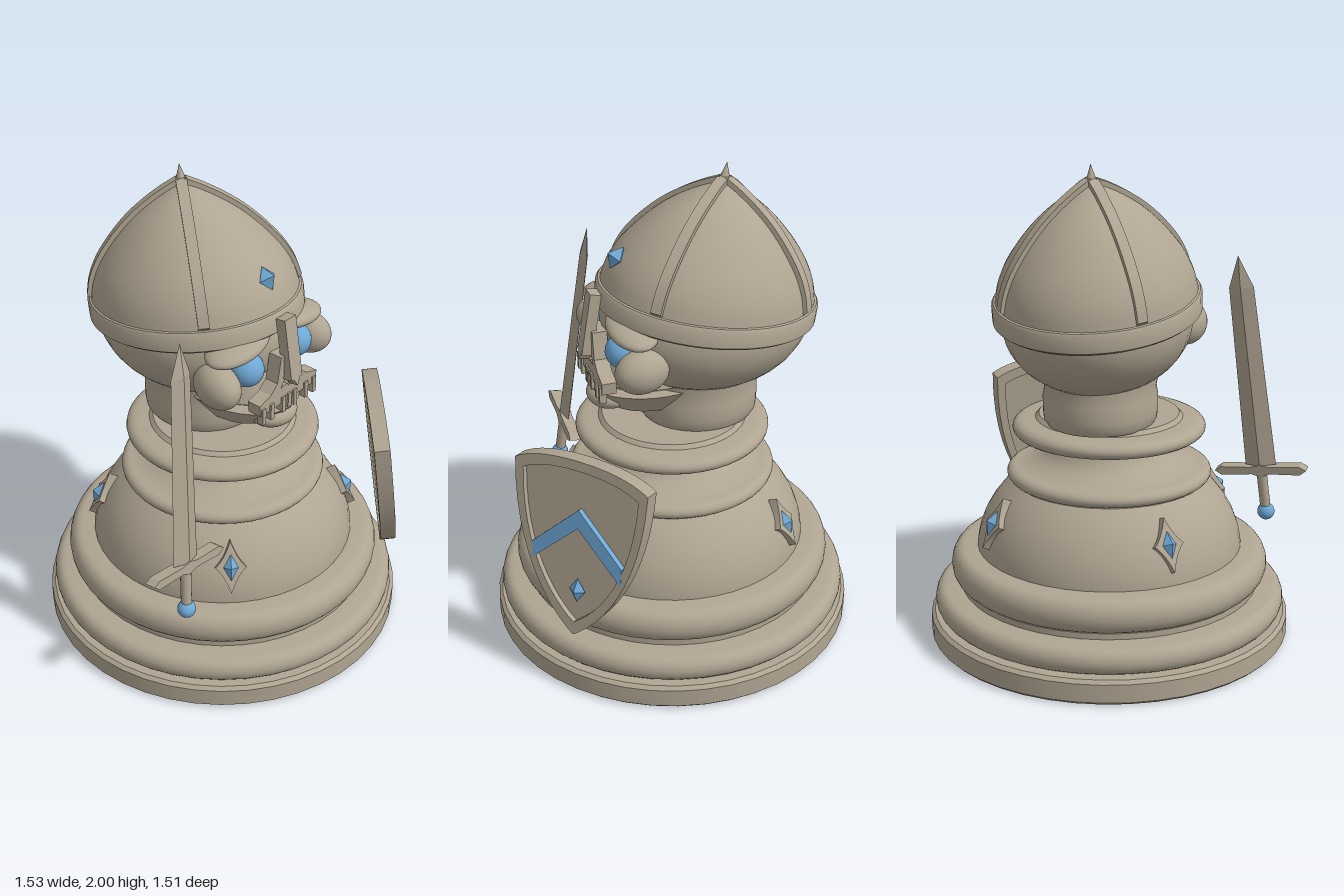
import * as THREE from 'three';
import { toCreasedNormals } from 'three/addons/utils/BufferGeometryUtils.js';

const stone = new THREE.MeshStandardMaterial({ color: 0xb0a592 });
stone.name = 'stone';
const blue = new THREE.MeshStandardMaterial({ color: 0x6fa8d6 });
blue.name = 'blue';

const V = (pts) => pts.map(([x, y]) => new THREE.Vector2(x, y));
const poly = (pts) => new THREE.Shape(V(pts));

function add(parent, name, geo, mat, pos = [0, 0, 0], rot = [0, 0, 0], scale = [1, 1, 1]) {
  const m = new THREE.Mesh(geo, mat);
  m.name = name;
  m.position.set(...pos);
  m.rotation.set(...rot);
  m.scale.set(...scale);
  parent.add(m);
  return m;
}

function group(parent, name, pos, rot = [0, 0, 0]) {
  const g = new THREE.Group();
  g.name = name;
  g.position.set(...pos);
  g.rotation.set(...rot, 'YXZ');
  parent.add(g);
  return g;
}

const lathe = (pts, seg = 48) => toCreasedNormals(new THREE.LatheGeometry(V(pts), seg), 0.6);
const ball = () => new THREE.SphereGeometry(1, 32, 24);
const slab = (shape, depth, z = 0) =>
  new THREE.ExtrudeGeometry(shape, { depth, bevelEnabled: false, curveSegments: 12 }).translate(0, 0, z);
const gem = (parent, pos, w, h, d) =>
  add(parent, 'gem', new THREE.OctahedronGeometry(1), blue, pos, [0, 0, 0], [w, h, d]);

// Half-round moulding between two heights
function bead(rIn, rOut, y0, y1) {
  return Array.from({ length: 11 }, (_, i) => {
    const a = -Math.PI / 2 + (Math.PI * i) / 10;
    return [rIn + (rOut - rIn) * Math.cos(a), (y0 + y1) / 2 + ((y1 - y0) / 2) * Math.sin(a)];
  });
}

function buildBase(root) {
  add(root, 'pedestal', lathe([
    [0, 0], [0.745, 0], [0.757, 0.012], [0.757, 0.088], [0.742, 0.102],
    ...bead(0.69, 0.737, 0.104, 0.212), [0.625, 0.215], [0.625, 0.24],
    ...bead(0.61, 0.665, 0.24, 0.382), [0.555, 0.385], [0.553, 0.41], [0.542, 0.46],
    [0.52, 0.52], [0.488, 0.575], [0.445, 0.63], [0.4, 0.672],
    ...bead(0.385, 0.425, 0.672, 0.735), [0.34, 0.742], [0.285, 0.77], [0.25, 0.8],
    [0.238, 0.83], [0.26, 0.85], [0.31, 0.86],
    ...bead(0.35, 0.4, 0.862, 0.932), [0.305, 0.936], [0.29, 0.952], [0, 0.952],
  ], 44), stone);

  // Four diamond ornaments around the bell
  const diamond = new THREE.Shape();
  diamond.moveTo(0, 0.11);
  diamond.quadraticCurveTo(0.025, 0.035, 0.063, 0);
  diamond.quadraticCurveTo(0.025, -0.035, 0, -0.11);
  diamond.quadraticCurveTo(-0.025, -0.035, -0.063, 0);
  diamond.quadraticCurveTo(-0.025, 0.035, 0, 0.11);
  for (let i = 0; i < 4; i++) {
    const a = Math.PI / 4 + (i * Math.PI) / 2;
    const g = group(root, 'ornament', [0.51 * Math.sin(a), 0.54, 0.51 * Math.cos(a)], [-0.45, a, 0]);
    add(g, 'ornamentPlate', slab(diamond, 0.045, -0.025), stone);
    gem(g, [0, 0, 0.02], 0.03, 0.055, 0.03);
  }
}

function buildHead(root) {
  const head = group(root, 'head', [0, 0, 0]);
  add(head, 'skull', ball(), stone, [0, 1.38, -0.14], [0, 0, 0], [0.375, 0.3, 0.43]);
  add(head, 'neck', lathe([[0, 0.945], [0.215, 0.945], [0.228, 0.965], [0.232, 1.0], [0.232, 1.06],
    [0.225, 1.1], [0.235, 1.15], [0.24, 1.22]]), stone, [0, 0, -0.11], [0, 0, 0], [1, 1, 1.06]);

  for (const s of [-1, 1]) {
    add(head, 'eye', ball(), blue, [s * 0.145, 1.335, 0.25], [0, 0, 0], [0.07, 0.07, 0.07]);
    add(head, 'brow', ball(), stone, [s * 0.16, 1.435, 0.215], [0, 0, -s * 0.14], [0.155, 0.042, 0.1]);
    add(head, 'cheekbone', ball(), stone, [s * 0.27, 1.3, 0.21], [0, s * 0.15, 0], [0.078, 0.09, 0.112]);
  }

  // Upper jaw with a nose opening
  const face = poly([[-0.17, 1.165], [0.17, 1.165], [0.175, 1.215], [0.11, 1.235], [0.07, 1.27],
    [0.05, 1.38], [-0.05, 1.38], [-0.07, 1.27], [-0.11, 1.235], [-0.175, 1.215]]);
  face.holes.push(new THREE.Path(V([[0, 1.31], [-0.05, 1.235], [-0.012, 1.245], [0, 1.23], [0.012, 1.245], [0.05, 1.235]])));
  add(head, 'upperJawFront', slab(face, 0.06, 0.285), stone);
  const drum = (top, bottom, h) => new THREE.CylinderGeometry(top, bottom, h, 32);
  add(head, 'upperJaw', drum(0.15, 0.185, 0.12), stone, [0, 1.215, 0.08], [0, 0, 0], [1, 1, 1.25]);
  add(head, 'mouth', drum(0.15, 0.15, 0.1), stone, [0, 1.14, 0.08], [0, 0, 0], [1, 1, 1.4]);
  add(head, 'lowerJaw', drum(0.205, 0.14, 0.095), stone, [0, 1.085, 0.09], [0, 0, 0], [1, 1, 1.3]);
  add(head, 'chin', ball(), stone, [0, 1.08, 0.27], [0, 0, 0], [0.105, 0.055, 0.09]);
  for (const x of [-0.155, -0.105, -0.035, 0, 0.035, 0.105, 0.155]) {
    add(head, 'tooth', new THREE.BoxGeometry(0.02, 0.07, 0.03), stone, [x, 1.16, 0.338]);
  }
}

function buildHelmet(root) {
  const helmet = group(root, 'helmet', [0, 1.41, -0.14], [-0.14, 0, 0]);
  helmet.scale.z = 1.1;
  const dome = new THREE.SplineCurve(V([[0.397, 0.08], [0.38, 0.15], [0.342, 0.23], [0.28, 0.315],
    [0.21, 0.39], [0.14, 0.447], [0.075, 0.49], [0.03, 0.515], [0, 0.53]])).getPoints(28).map((p) => [p.x, p.y]);
  dome[dome.length - 1][0] = 0;
  add(helmet, 'dome', lathe([[0.35, 0], [0.4, -0.01], [0.412, 0], [0.412, 0.065], [0.405, 0.077], ...dome], 56), stone);

  // Four raised ribs following the dome
  const outer = dome.map(([r, h]) => [r + 0.012, h + 0.014]);
  const inner = dome.map(([r, h]) => [Math.max(r - 0.03, 0), h - 0.025]).reverse();
  const rib = toCreasedNormals(slab(poly([...outer, ...inner]), 0.042, -0.021), 0.5);
  for (let i = 0; i < 4; i++) {
    add(helmet, 'rib', rib, stone, [0, 0, 0], [0, Math.PI / 4 + (i * Math.PI) / 2, 0]);
  }
  add(helmet, 'spike', new THREE.ConeGeometry(0.026, 0.085, 10), stone, [0, 0.556, 0]);

  add(root, 'noseGuard', new THREE.BoxGeometry(0.066, 0.26, 0.045), stone, [0, 1.405, 0.342], [-0.16, 0, 0]);
  add(root, 'noseGuardTip', new THREE.CylinderGeometry(0.033, 0.033, 0.045, 3), stone,
    [0, 1.277, 0.363], [Math.PI / 2 - 0.16, 0, 0]);
  const browGem = gem(root, [0, 1.665, 0.225], 0.044, 0.05, 0.044);
  browGem.rotation.x = -0.6;
}

function buildSword(root) {
  const sword = group(root, 'sword', [-0.578, 0.66, 0.315], [-0.11, 0, -0.105]);
  const flat = (g) => toCreasedNormals(g, 0.1);
  const thin = [1, 1, 0.36];
  add(sword, 'blade', flat(new THREE.CylinderGeometry(0.052, 0.066, 0.79, 4)), stone, [0, 0.415, 0], [0, 0, 0], thin);
  add(sword, 'bladeTip', flat(new THREE.ConeGeometry(0.052, 0.135, 4)), stone, [0, 0.8775, 0], [0, 0, 0], thin);
  add(sword, 'guard', slab(poly([[-0.198, 0], [-0.17, -0.02], [-0.04, -0.016], [0, -0.03], [0.04, -0.016],
    [0.17, -0.02], [0.198, 0], [0.17, 0.018], [0.04, 0.016], [0, 0.026], [-0.04, 0.016], [-0.17, 0.018]]),
    0.05, -0.025), stone);
  add(sword, 'grip', new THREE.CylinderGeometry(0.022, 0.022, 0.18, 16), stone, [0, -0.095, 0]);
  add(sword, 'pommel', ball(), blue, [0, -0.2, 0], [0, 0, 0], [0.037, 0.037, 0.037]);
}

// Shield outline, shrunk towards its middle by k
function shieldOutline(k, Type) {
  const cy = 0.44;
  const p = (x, y) => [x * k, cy + (y - cy) * k];
  const s = new Type();
  s.moveTo(...p(0, 0));
  s.bezierCurveTo(...p(0.13, 0.09), ...p(0.29, 0.3), ...p(0.3, 0.7));
  s.quadraticCurveTo(...p(0.2, 0.76), ...p(0, 0.76));
  s.quadraticCurveTo(...p(-0.2, 0.76), ...p(-0.3, 0.7));
  s.bezierCurveTo(...p(-0.29, 0.3), ...p(-0.13, 0.09), ...p(0, 0));
  return s;
}

function buildShield(root) {
  const shield = group(root, 'shield', [0.47, 0.28, 0.56], [-0.13, 0.73, 0]);
  add(shield, 'shieldPlate', slab(shieldOutline(0.95, THREE.Shape), 0.035, -0.035), stone);
  const rim = shieldOutline(1, THREE.Shape);
  rim.holes.push(shieldOutline(0.87, THREE.Path));
  add(shield, 'shieldRim', toCreasedNormals(slab(rim, 0.065, -0.042), 0.5), stone);
  add(shield, 'chevron', slab(poly([[0, 0.555], [-0.205, 0.36], [-0.205, 0.285], [0, 0.475],
    [0.205, 0.285], [0.205, 0.36]]), 0.009, 0.0155), blue);
  add(shield, 'chevronBacking', slab(poly([[0, 0.555], [-0.205, 0.36], [-0.205, 0.285], [0, 0.475],
    [0.205, 0.285], [0.205, 0.36]]), 0.0165, -0.001), blue);
  gem(shield, [0, 0.195, 0.005], 0.036, 0.052, 0.03);
}

export function createModel() {
  const root = new THREE.Group();
  root.name = 'chessPawnKnight';
  buildBase(root);
  buildHead(root);
  buildHelmet(root);
  buildSword(root);
  buildShield(root);
  return root;
}
